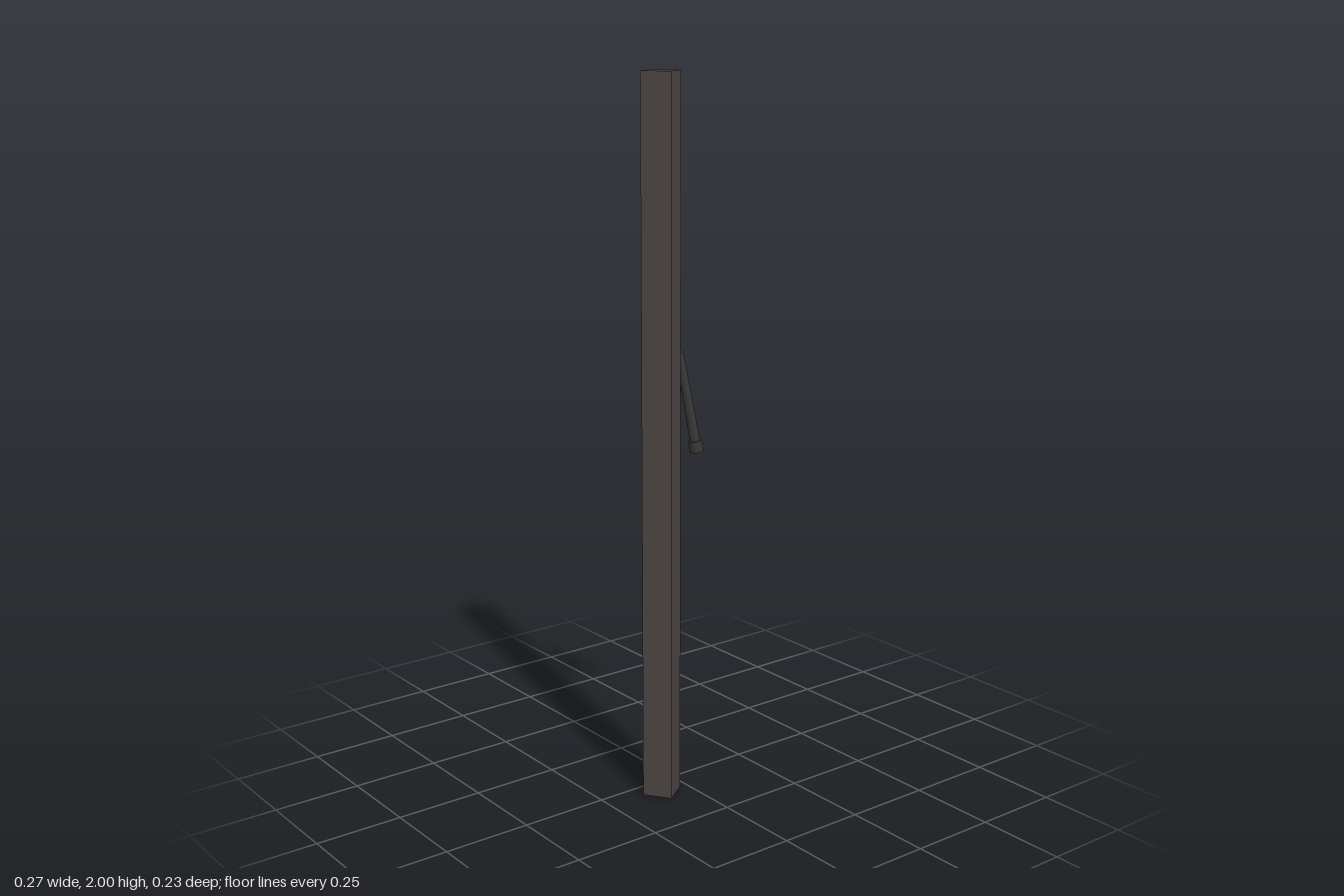
import * as THREE from 'three';

const postMat = new THREE.MeshStandardMaterial({ color: 0x4b4443 });
postMat.name = 'post brown grey';
const gripMat = new THREE.MeshStandardMaterial({ color: 0x3a3939 });
gripMat.name = 'grip dark grey';
const cableMat = new THREE.MeshStandardMaterial({ color: 0x2a2a2a });
cableMat.name = 'cable black';

// Tapered round bar from point a (radius ra) to point b (radius rb)
function bar(name, a, b, ra, rb, mat, sides = 20) {
  const dir = b.clone().sub(a);
  const mesh = new THREE.Mesh(new THREE.CylinderGeometry(rb, ra, dir.length(), sides), mat);
  mesh.position.copy(a).add(b).multiplyScalar(0.5);
  mesh.quaternion.setFromUnitVectors(new THREE.Vector3(0, 1, 0), dir.normalize());
  mesh.name = name;
  return mesh;
}

export function createModel() {
  const model = new THREE.Group();
  model.name = 'cablePulley';

  // Everything lies along one line, turned about the post
  const station = new THREE.Group();
  station.name = 'station';
  station.position.set(-0.079, 0, 0.0545);
  station.rotation.y = THREE.MathUtils.degToRad(35);
  model.add(station);

  // Square upright post
  const post = new THREE.Mesh(new THREE.BoxGeometry(0.083, 2, 0.083), postMat);
  post.position.y = 1;
  post.name = 'post';
  station.add(post);

  // Pulley wheel, partly sunk into the post
  const hub = new THREE.Vector3(0.06, 1.875, 0);
  const wheel = new THREE.Mesh(new THREE.CylinderGeometry(0.041, 0.041, 0.025, 20), postMat);
  wheel.rotation.x = Math.PI / 2;
  wheel.position.copy(hub);
  wheel.name = 'pulleyWheel';
  station.add(wheel);

  // Cable down to the joined rope ends
  const joint = new THREE.Vector3(0.163, 1.237, 0);
  station.add(bar('cable', hub, joint, 0.0035, 0.0035, cableMat, 10));

  // Two splayed grips, each with a stopper at its end
  for (const side of [1, -1]) {
    const name = side > 0 ? 'front' : 'back';
    const end = new THREE.Vector3(0.212, 0.946, 0.037 * side);
    const neck = end.clone().lerp(joint, 0.11);
    station.add(bar(name + 'Grip', joint, neck, 0.0115, 0.0145, gripMat));
    station.add(bar(name + 'Stopper', neck, end, 0.019, 0.02, gripMat));
  }
  return model;
}
